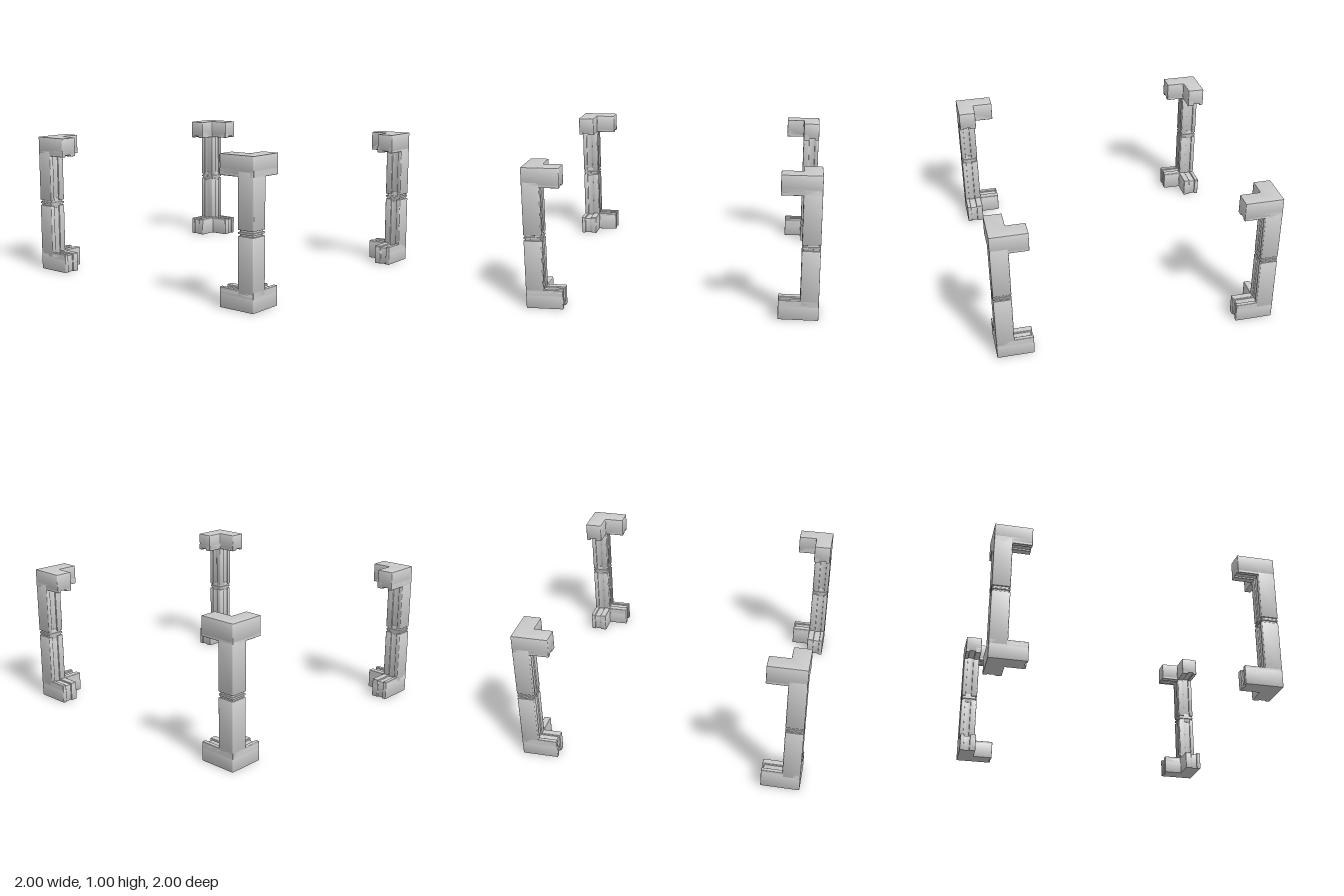
import * as THREE from 'three';
import { toCreasedNormals } from 'three/addons/utils/BufferGeometryUtils.js';
import { RoundedBoxGeometry } from 'three/addons/geometries/RoundedBoxGeometry.js';

const material = new THREE.MeshStandardMaterial({ color: 0xcccccc });

const W = 0.125;            // thickness of posts and arms
const H = 0.138;            // height of the arms
const LX = 0.272, LZ = 0.26; // arm lengths from the outer corner
const G0 = 0.03, G1 = 0.077; // groove start and end across the width
const D = 0.012;            // groove depth

// Prism from a plan outline [x, z], with rounded corners and bevelled ends.
function prism(name, points, y0, y1, bevel = 0.005, r = 0.007) {
  const pts = points.map(([x, z]) => new THREE.Vector2(x, -z));
  const shape = new THREE.Shape();
  pts.forEach((p, i) => {
    const prev = pts[(i + pts.length - 1) % pts.length];
    const next = pts[(i + 1) % pts.length];
    const toward = (q) => {
      const d = p.distanceTo(q);
      return p.clone().lerp(q, Math.min(r, d * 0.4) / d);
    };
    const a = toward(prev), b = toward(next);
    if (i === 0) shape.moveTo(a.x, a.y);
    else shape.lineTo(a.x, a.y);
    shape.quadraticCurveTo(p.x, p.y, b.x, b.y);
  });
  shape.closePath();
  const geometry = new THREE.ExtrudeGeometry(shape, {
    depth: y1 - y0 - 2 * bevel, curveSegments: 3, bevelSegments: 2,
    bevelThickness: bevel, bevelSize: bevel, bevelOffset: -bevel,
  });
  geometry.rotateX(-Math.PI / 2);
  geometry.translate(0, y0 + bevel, 0);
  const mesh = new THREE.Mesh(toCreasedNormals(geometry, 0.7), material);
  mesh.name = name;
  return mesh;
}

// Rounded bar between two corners.
function bar(name, x0, x1, y0, y1, z0, z1) {
  const mesh = new THREE.Mesh(
    new RoundedBoxGeometry(x1 - x0, y1 - y0, z1 - z0, 2, 0.005), material);
  mesh.position.set((x0 + x1) / 2, (y0 + y1) / 2, (z0 + z1) / 2);
  mesh.name = name;
  return mesh;
}

// L-shaped plan of an arm pair; the ends may carry a notch.
function armPlan(notch) {
  const xEnd = notch ? [[LX, G0], [LX - D, G0], [LX - D, G1], [LX, G1]] : [];
  const zEnd = notch ? [[G1, LZ], [G1, LZ - D], [G0, LZ - D], [G0, LZ]] : [];
  return [[0, 0], [LX, 0], ...xEnd, [LX, W], [W, W], [W, LZ], ...zEnd, [0, LZ]];
}

// Post plan with a groove in both inner faces.
const postPlan = [
  [0, 0], [W, 0], [W, G0], [W - D, G0], [W - D, G1], [W, G1], [W, W],
  [G1, W], [G1, W - D], [G0, W - D], [G0, W], [0, W],
];

const squarePlan = (inset) => {
  const a = inset, b = W - inset;
  return [[a, a], [b, a], [b, b], [a, b]];
};

function createCorner() {
  const corner = new THREE.Group();

  // Two post halves
  corner.add(prism('lowerPost', postPlan, 0.1, 0.488, 0.004));
  corner.add(prism('upperPost', postPlan, 0.526, 0.9, 0.004));

  // Ribbed joint between the halves
  corner.add(prism('jointCore', squarePlan(0.009), 0.47, 0.545, 0.002));
  corner.add(prism('jointRib', squarePlan(0.001), 0.5, 0.514, 0.003));

  // Arm pairs, each with raised rails on the face towards the other pair
  for (const lower of [true, false]) {
    const side = lower ? 'lower' : 'upper';
    const [y0, y1] = lower ? [0, H - D] : [1 - H + D, 1];
    const [r0, r1] = lower ? [H - 0.05, H] : [1 - H, 1 - H + 0.05];
    corner.add(prism(side + 'Arms', armPlan(lower), y0, y1));
    for (const [a, b] of [[0, G0], [G1, W]]) {
      corner.add(bar(side + 'RailX', a, LX, r0, r1, a, b));
      corner.add(bar(side + 'RailZ', a, b, r0, r1, a, LZ));
    }
  }
  return corner;
}

export function createModel() {
  const model = new THREE.Group();
  model.name = 'cornerFrames';

  // Four corners by quarter turns
  for (let i = 0; i < 4; i++) {
    const corner = createCorner();
    corner.position.set(-1, 0, -1);
    const pivot = new THREE.Group();
    pivot.name = 'cornerPost' + (i + 1);
    pivot.rotation.y = i * Math.PI / 2;
    pivot.add(corner);
    model.add(pivot);
  }
  return model;
}
